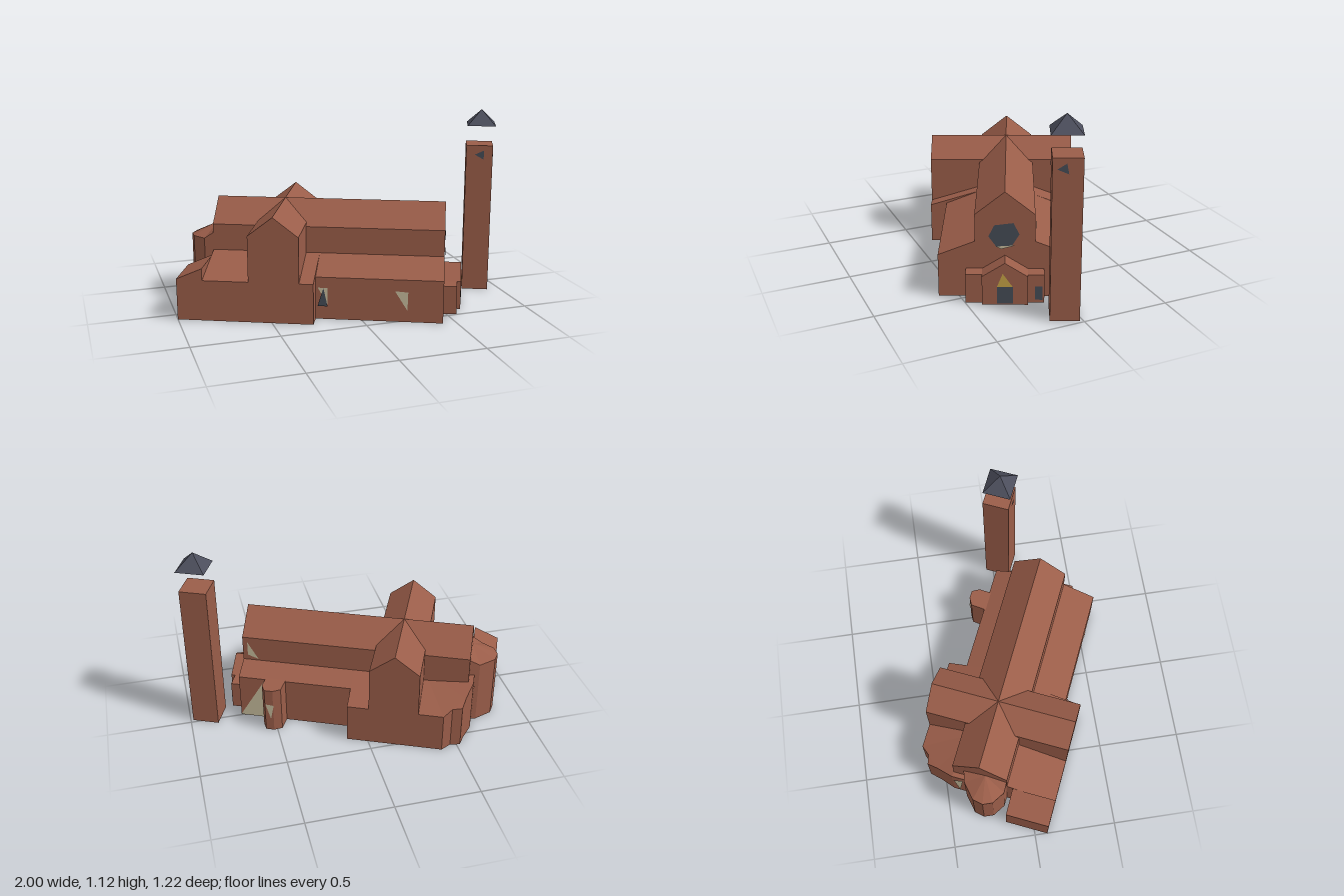
import * as THREE from 'three';

const mat = (name, color, side = THREE.FrontSide) => {
  const m = new THREE.MeshStandardMaterial({ color, side, flatShading: true });
  m.name = name;
  return m;
};

export function createModel() {
  const brick = mat('brick', 0x9a5d49);
  const slate = mat('roof slate', 0x4c4e5c);
  const darkGlass = mat('dark glass', 0x444b55, THREE.DoubleSide);
  const paleGlass = mat('pale glass', 0xc6bb9c, THREE.DoubleSide);
  const gold = mat('gold', 0xc2a044, THREE.DoubleSide);

  // Local frame: x runs along the nave, z across it, origin at the crossing.
  const church = new THREE.Group();
  church.name = 'church';
  church.rotation.y = -0.42;
  church.position.set(-0.3, 0, -0.12);

  const add = (name, geometry, material) => {
    const mesh = new THREE.Mesh(geometry, material);
    mesh.name = name;
    church.add(mesh);
    return mesh;
  };

  const fromTriangles = (points) => {
    const g = new THREE.BufferGeometry();
    g.setAttribute('position', new THREE.Float32BufferAttribute(points.flat(), 3));
    g.computeVertexNormals();
    return g;
  };

  // Walls over a ground plan [x, z], with roof heights by rule and an optional apex
  const mass = (name, outline, height, apex) => {
    let plan = outline.map(([x, z]) => new THREE.Vector2(x, z));
    if (THREE.ShapeUtils.area(plan) > 0) plan.reverse();
    const low = (p) => [p.x, 0, p.y];
    const top = (p) => [p.x, height(p.x, p.y), p.y];
    const tris = [];
    plan.forEach((a, i) => {
      const b = plan[(i + 1) % plan.length];
      tris.push(low(a), low(b), top(b), low(a), top(b), top(a));
      if (apex) tris.push(top(a), top(b), apex);
    });
    for (const face of THREE.ShapeUtils.triangulateShape(plan, [])) {
      let [a, b, c] = face.map((i) => plan[i]);
      if (THREE.ShapeUtils.area([a, b, c]) > 0) [b, c] = [c, b];
      if (!apex) tris.push(top(a), top(b), top(c));
      tris.push(low(a), low(c), low(b));
    }
    return add(name, fromTriangles(tris), brick);
  };

  const rect = (x0, x1, z0, z1) => [[x0, z0], [x1, z0], [x1, z1], [x0, z1]];

  // Gabled block extruded along z from start to end
  const gable = (name, half, eave, ridge, start, end) => {
    const shape = new THREE.Shape([
      [-half, 0], [half, 0], [half, eave], [0, ridge], [-half, eave],
    ].map(([x, y]) => new THREE.Vector2(x, y)));
    const g = new THREE.ExtrudeGeometry(shape, { depth: end - start, bevelEnabled: false });
    g.translate(0, 0, start);
    return add(name, g, brick);
  };

  // Thin flat panel through the given corners
  const panel = (name, material, pts) => {
    const tris = [];
    for (let i = 1; i < pts.length - 1; i++) tris.push(pts[0], pts[i], pts[i + 1]);
    return add(name, fromTriangles(tris), material);
  };

  // Nave and transept
  gable('nave', 0.165, 0.49, 0.622, -0.41, 0.955).rotation.y = Math.PI / 2;
  gable('transept', 0.145, 0.51, 0.622, -0.407, 0.465);

  // Lean-to aisles, falling away from the nave wall
  const lean = (slope) => (x, z) => 0.333 - (Math.abs(z) - 0.165) * slope;
  mass('southAisle', rect(0.145, 0.955, 0.165, 0.368), lean(0.4));
  mass('northAisle', rect(0.145, 0.955, -0.288, -0.165), lean(0.4));
  mass('southEastChapel', rect(0.145, 0.226, 0.165, 0.465), lean(0.31));
  mass('southWestChapel', rect(-0.41, -0.145, 0.165, 0.465), lean(0.31));
  mass('northEastChapel', rect(0.145, 0.273, -0.407, -0.165), lean(0.38));

  // Sacristy with a roof falling to the west
  mass('sacristy', rect(-0.56, -0.41, 0.2, 0.465), (x) => 0.245 + (x + 0.56) * 0.44);

  // Main apse and the faceted north-west chapel
  mass('apse', [
    [-0.405, 0.163], [-0.465, 0.163], [-0.54, 0.115], [-0.565, 0.06],
    [-0.553, -0.003], [-0.468, -0.08], [-0.405, -0.1],
  ], (x) => (x > -0.41 ? 0.44 : 0.4), [-0.411, 0.47, 0.035]);
  mass('northWestChapel', [
    [-0.145, -0.1], [-0.44, -0.08], [-0.44, -0.17], [-0.407, -0.273],
    [-0.393, -0.34], [-0.336, -0.353], [-0.291, -0.407], [-0.145, -0.407],
  ], (x, z) => Math.min(0.333, lean(0.38)(x, z)));

  // Side chapel on the north aisle
  mass('northChapel', [
    [0.667, -0.27], [0.676, -0.375], [0.72, -0.4], [0.77, -0.4], [0.795, -0.353], [0.79, -0.27],
  ], () => 0.288);

  // Entrance porch with low wings
  mass('porchWings', rect(0.95, 1.032, -0.215, 0.215), () => 0.17);
  gable('porch', 0.125, 0.17, 0.25, 0.95, 1.056).rotation.y = Math.PI / 2;

  // Door and its gold arch
  panel('door', darkGlass, [[1.06, 0.01, 0.043], [1.06, 0.01, -0.043], [1.06, 0.11, -0.043], [1.06, 0.11, 0.043]]);
  panel('doorArch', gold, [[1.06, 0.11, 0.043], [1.06, 0.11, -0.043], [1.06, 0.19, 0.012]]);
  panel('sideDoor', darkGlass, [[1.036, 0.02, -0.165], [1.036, 0.02, -0.205], [1.036, 0.1, -0.205], [1.036, 0.1, -0.165]]);

  // Round window of the east front
  panel('roundWindow', darkGlass, [
    [0.43, 0.058], [0.443, -0.046], [0.377, -0.079], [0.305, -0.036], [0.3, 0.045], [0.364, 0.09],
  ].map(([y, z]) => [0.96, y, z]));
  panel('roundWindowSill', paleGlass, [[0.962, 0.305, 0.05], [0.962, 0.29, 0.02], [0.962, 0.312, -0.06]]);

  // Broken-shaped windows along the south aisle
  const south = (name, m, pts, z = 0.373) => panel(name, m, pts.map(([x, y]) => [x, y, z]));
  south('southWindowPale', paleGlass, [[0.24, 0.19], [0.295, 0.09], [0.295, 0.19]]);
  south('southWindowDark', darkGlass, [[0.238, 0.08], [0.296, 0.08], [0.272, 0.19]], 0.376);
  south('southWindowEast', paleGlass, [[0.68, 0.185], [0.752, 0.07], [0.755, 0.18]]);

  // Windows on the north side and apse
  south('northWindowLarge', paleGlass, [[0.955, 0.005], [0.8, 0.005], [0.8, 0.27]], -0.293);
  south('northChapelWindow', paleGlass, [[0.765, 0.19], [0.715, 0.185], [0.735, 0.085]], -0.405);
  south('clerestoryWindow', paleGlass, [[0.925, 0.46], [0.925, 0.37], [0.86, 0.345]], -0.17);
  panel('apseWindow', paleGlass, [[-0.445, 0.3, -0.1], [-0.445, 0.26, -0.16], [-0.445, 0.03, -0.13]]);

  // Free-standing bell tower with a raised pyramid roof
  const [tx, tz] = [1.151, -0.317];
  add('tower', new THREE.BoxGeometry(0.159, 0.915, 0.159), brick).position.set(tx, 0.4575, tz);
  const cap = new THREE.ConeGeometry(0.168 / Math.SQRT2, 0.09, 4).rotateY(Math.PI / 4);
  add('towerRoof', cap, slate).position.set(tx + 0.007, 1.08, tz + 0.007);
  south('towerSouthWindow', darkGlass, [[1.123, 0.86], [1.177, 0.83], [1.177, 0.885]], tz + 0.084);
  panel('towerEastWindow', darkGlass, [[tx + 0.084, 0.855, -0.262], [tx + 0.084, 0.83, -0.322], [tx + 0.084, 0.887, -0.311]]);

  const model = new THREE.Group();
  model.name = 'churchWithTower';
  model.add(church);
  return model;
}
